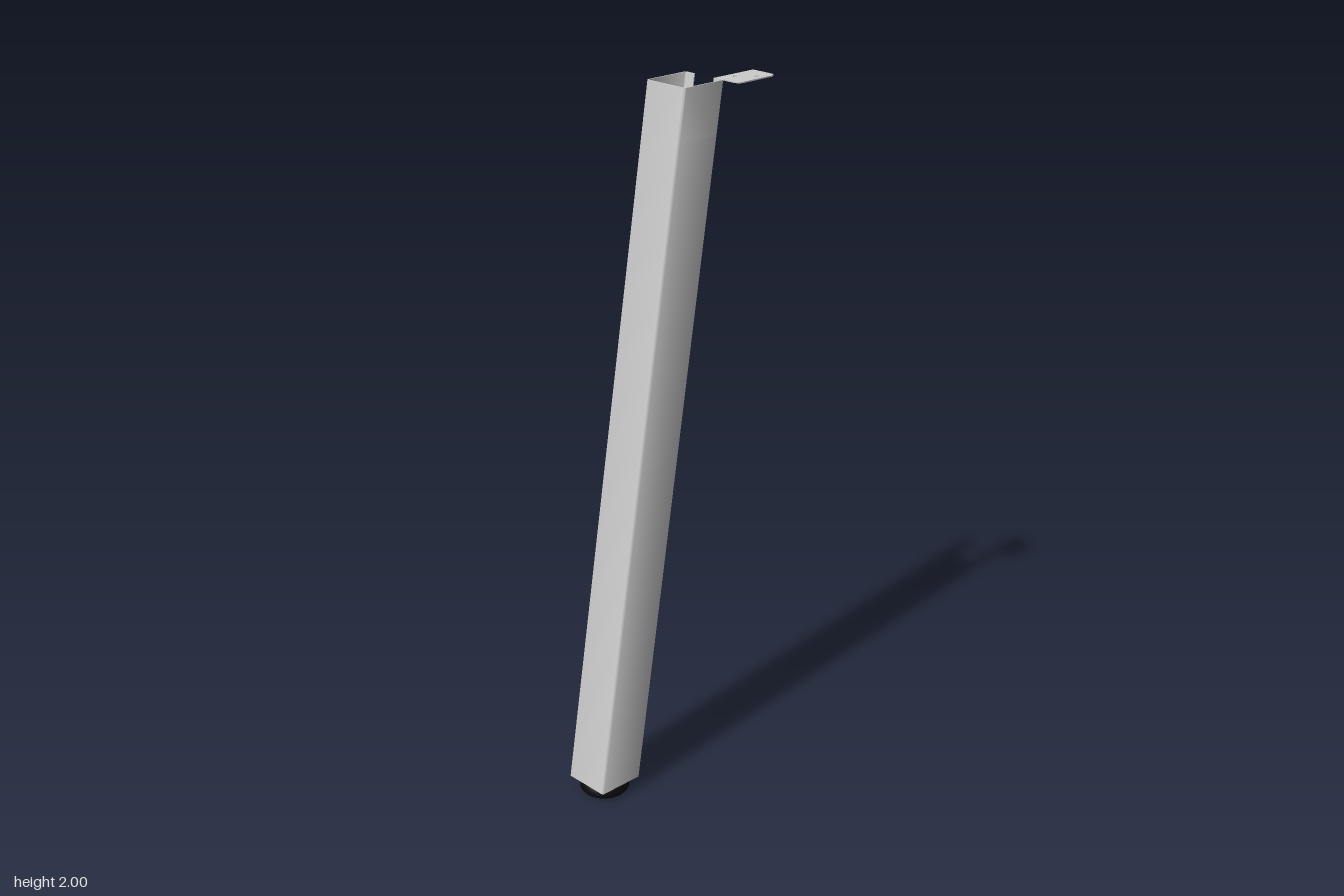
import * as THREE from 'three';
import { toCreasedNormals } from 'three/addons/utils/BufferGeometryUtils.js';

const CX = -0.026, W = 0.142, WALL = 0.0035;
const BOTTOM = 0.04, TOP = 2, NOTCH = 1.86;
const Z_BOTTOM = 0.227, LEAN = -0.16; // z at tube bottom, z shift per unit height

// Rounded square in plan, centred on the origin
function roundedSquare(path, size, r) {
  const h = size / 2;
  path.moveTo(-h + r, -h);
  path.lineTo(h - r, -h);
  path.absarc(h - r, -h + r, r, -Math.PI / 2, 0);
  path.absarc(h - r, h - r, r, 0, Math.PI / 2);
  path.absarc(-h + r, h - r, r, Math.PI / 2, Math.PI);
  path.absarc(-h + r, -h + r, r, Math.PI, Math.PI * 1.5);
  return path;
}

// Extrudes a plan shape (shape y = -z) upwards from y0 to y1
function extrudeUp(shape, y0, y1) {
  const g = new THREE.ExtrudeGeometry(shape, { depth: y1 - y0, bevelEnabled: false, curveSegments: 6 });
  return g.rotateX(-Math.PI / 2).translate(0, y0, 0);
}

// Shears a vertical tube section so it leans backwards
function lean(g) {
  const m = new THREE.Matrix4().set(
    1, 0, 0, CX,
    0, 1, 0, 0,
    0, LEAN, 1, Z_BOTTOM - LEAN * BOTTOM,
    0, 0, 0, 1);
  return toCreasedNormals(g.applyMatrix4(m), 0.6);
}

export function createModel() {
  const model = new THREE.Group();
  const grey = new THREE.MeshStandardMaterial({ color: 0xcccccc, side: THREE.DoubleSide });
  const black = new THREE.MeshStandardMaterial({ color: 0x0a0a0a });
  const add = (name, geometry, material) => {
    const mesh = new THREE.Mesh(geometry, material);
    mesh.name = name;
    model.add(mesh);
    return mesh;
  };

  // Hollow leg below the notch
  const ring = roundedSquare(new THREE.Shape(), W, 0.007);
  ring.holes.push(roundedSquare(new THREE.Path(), W - 2 * WALL, 0.0035));
  add('legTube', lean(extrudeUp(ring, BOTTOM, NOTCH)), grey);

  // Top of the leg, with a gap in the back wall
  const h = W / 2, i = h - WALL, r = 0.007, ri = 0.0035;
  const gapL = -0.062 - CX, gapR = 0.01 - CX;
  const c = new THREE.Shape();
  c.moveTo(gapR, h);
  c.lineTo(gapR, i);
  c.absarc(i - ri, i - ri, ri, Math.PI / 2, 0, true);
  c.absarc(i - ri, -i + ri, ri, 0, -Math.PI / 2, true);
  c.absarc(-i + ri, -i + ri, ri, -Math.PI / 2, -Math.PI, true);
  c.absarc(-i + ri, i - ri, ri, Math.PI, Math.PI / 2, true);
  c.lineTo(gapL, i);
  c.lineTo(gapL, h);
  c.absarc(-h + r, h - r, r, Math.PI / 2, Math.PI);
  c.absarc(-h + r, -h + r, r, Math.PI, Math.PI * 1.5);
  c.absarc(h - r, -h + r, r, -Math.PI / 2, 0);
  c.absarc(h - r, h - r, r, 0, Math.PI / 2);
  c.closePath();
  add('notchedLegTop', lean(extrudeUp(c, NOTCH, TOP)), grey);

  // Mounting tab bent out from the back wall, with two screw holes
  const x0 = 0.01, x1 = 0.095, z0 = 0.16, z1 = 0.3, tr = 0.02;
  const tab = new THREE.Shape();
  tab.moveTo(x0, 0.155);
  tab.lineTo(0.045, 0.155);
  tab.lineTo(0.045, z0);
  tab.absarc(x1 - tr, z0 + tr, tr, -Math.PI / 2, 0);
  tab.absarc(x1 - tr, z1 - tr, tr, 0, Math.PI / 2);
  tab.lineTo(x0, z1);
  tab.closePath();
  for (const [x, z] of [[0.073, 0.25], [0.033, 0.21]]) {
    tab.holes.push(new THREE.Path().absarc(x, z, 0.007, 0, Math.PI * 2));
  }
  add('mountingTab', toCreasedNormals(extrudeUp(tab, TOP - WALL, TOP), 0.6), grey);

  // Levelling foot with its stem
  const profile = [
    [0, 0], [0.055, 0], [0.064, 0.004], [0.07, 0.012], [0.07, 0.025],
    [0.065, 0.033], [0.045, 0.037], [0.012, 0.038], [0.012, 0.12], [0, 0.12],
  ].map(([x, y]) => new THREE.Vector2(x, y));
  const foot = add('levellingFoot', toCreasedNormals(new THREE.LatheGeometry(profile, 40), 0.7), black);
  foot.position.set(CX, 0, Z_BOTTOM);

  return model;
}
